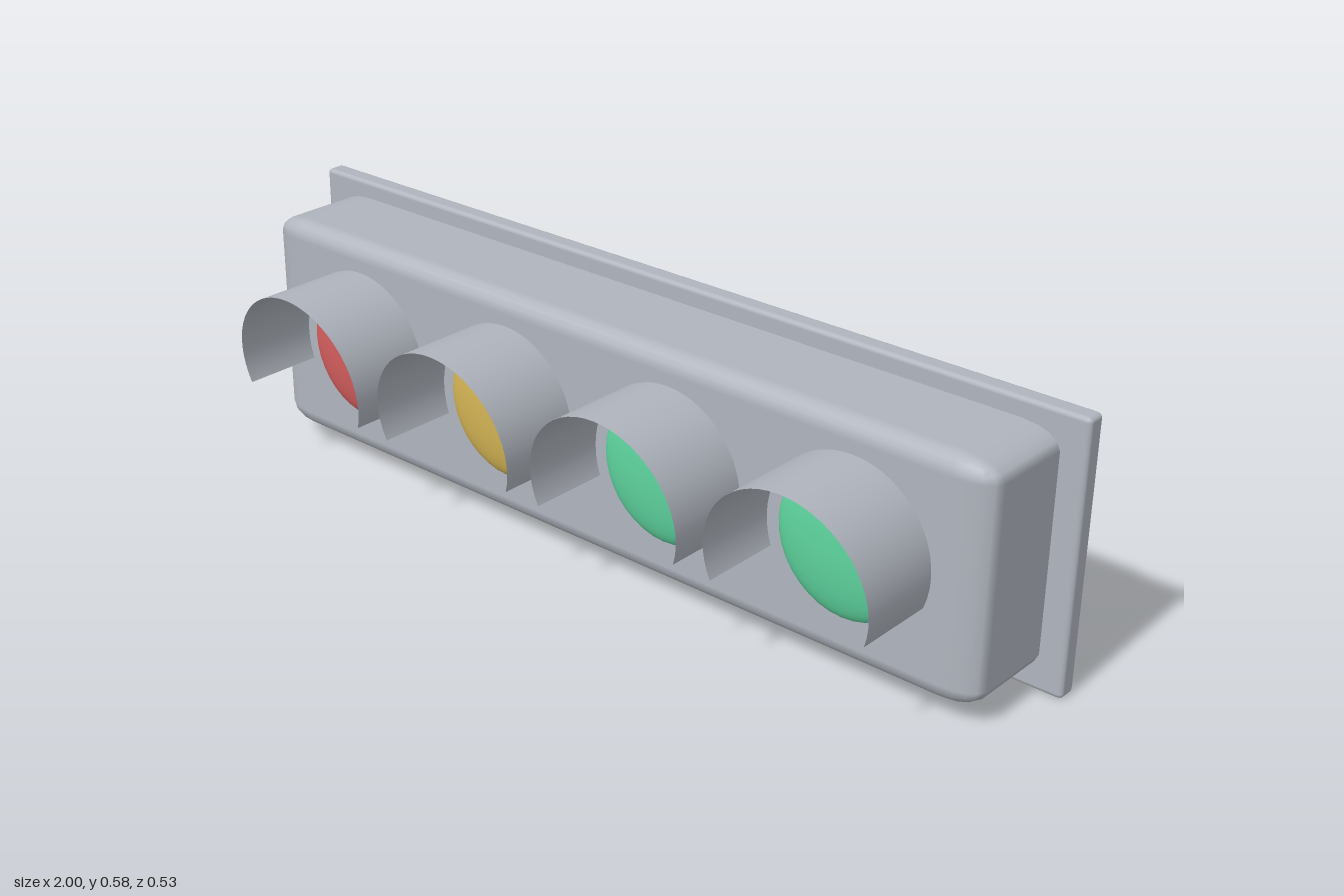
import * as THREE from 'three';
import { RoundedBoxGeometry } from 'three/addons/geometries/RoundedBoxGeometry.js';

const CENTER_Y = 0.29;
const FACE_Z = 0.053;

function mat(name, color, side = THREE.FrontSide) {
  const m = new THREE.MeshStandardMaterial({ color, side });
  m.name = name;
  return m;
}

// Rounded box whose rounding is stretched sideways by sx
function softBox(w, h, d, r, sx) {
  return new RoundedBoxGeometry(w / sx, h, d, 2, r).scale(sx, 1, 1);
}

// Open hood: an arc swept forward, its front edge leaning out towards the top
function visorGeometry(radius) {
  const start = -0.36;
  const arc = Math.PI + 0.72;
  const geo = new THREE.CylinderGeometry(radius, radius, 1, 32, 1, true, start + Math.PI / 2, arc);
  geo.rotateX(Math.PI / 2);
  geo.rotateZ(Math.PI);
  const p = geo.attributes.position;
  for (let i = 0; i < p.count; i++) {
    // Lay the arc out evenly, left to right over the top
    const col = i % 33;
    const a = start + (arc * col) / 32;
    const x = Math.cos(a) * radius;
    const y = Math.sin(a) * radius;
    const front = 0.241 + 0.12 * y;
    p.setXYZ(i, x, y, i < 33 ? front : FACE_Z - 0.01);
    geo.attributes.normal.setXYZ(i, Math.cos(a), Math.sin(a), 0);
  }
  // Face winding outward
  const idx = geo.index.array;
  const [a, b, c] = [0, 1, 2].map((k) => new THREE.Vector3().fromBufferAttribute(p, idx[k]));
  const n = b.clone().sub(a).cross(c.clone().sub(a));
  if (n.x * a.x + n.y * a.y < 0) {
    for (let i = 0; i < idx.length; i += 3) [idx[i], idx[i + 1]] = [idx[i + 1], idx[i]];
  }
  return geo;
}

export function createModel() {
  const group = new THREE.Group();
  group.name = 'trafficLight';

  const grey = mat('housing grey', 0xb0b5be, THREE.DoubleSide);
  const red = mat('signal red', 0xd65f5f);
  const yellow = mat('signal yellow', 0xd6b656);
  const green = mat('signal green', 0x5fd6a0);

  const add = (name, geo, material, x, y, z) => {
    const mesh = new THREE.Mesh(geo, material);
    mesh.name = name;
    mesh.position.set(x, y, z);
    group.add(mesh);
  };

  // Housing and the thin rim around its back
  add('housing', softBox(1.89, 0.5, 0.315, 0.04, 2.1), grey, 0, CENTER_Y, -0.1045);
  add('rim', softBox(2, 0.578, 0.044, 0.01, 1.2), grey, 0, CENTER_Y, -0.184);

  // Domed lenses, each under its own visor
  const lens = new THREE.SphereGeometry(0.156, 36, 10, 0, Math.PI * 2, 0, Math.PI / 2);
  lens.rotateX(Math.PI / 2).scale(1, 1, 0.035 / 0.156);
  const visor = visorGeometry(0.185);

  [red, yellow, green, green].forEach((material, i) => {
    const x = -0.655 + i * 0.435;
    add('lens' + (i + 1), lens, material, x, CENTER_Y + 0.002, FACE_Z - 0.002);
    add('visor' + (i + 1), visor, grey, x, CENTER_Y, 0);
  });

  return group;
}
